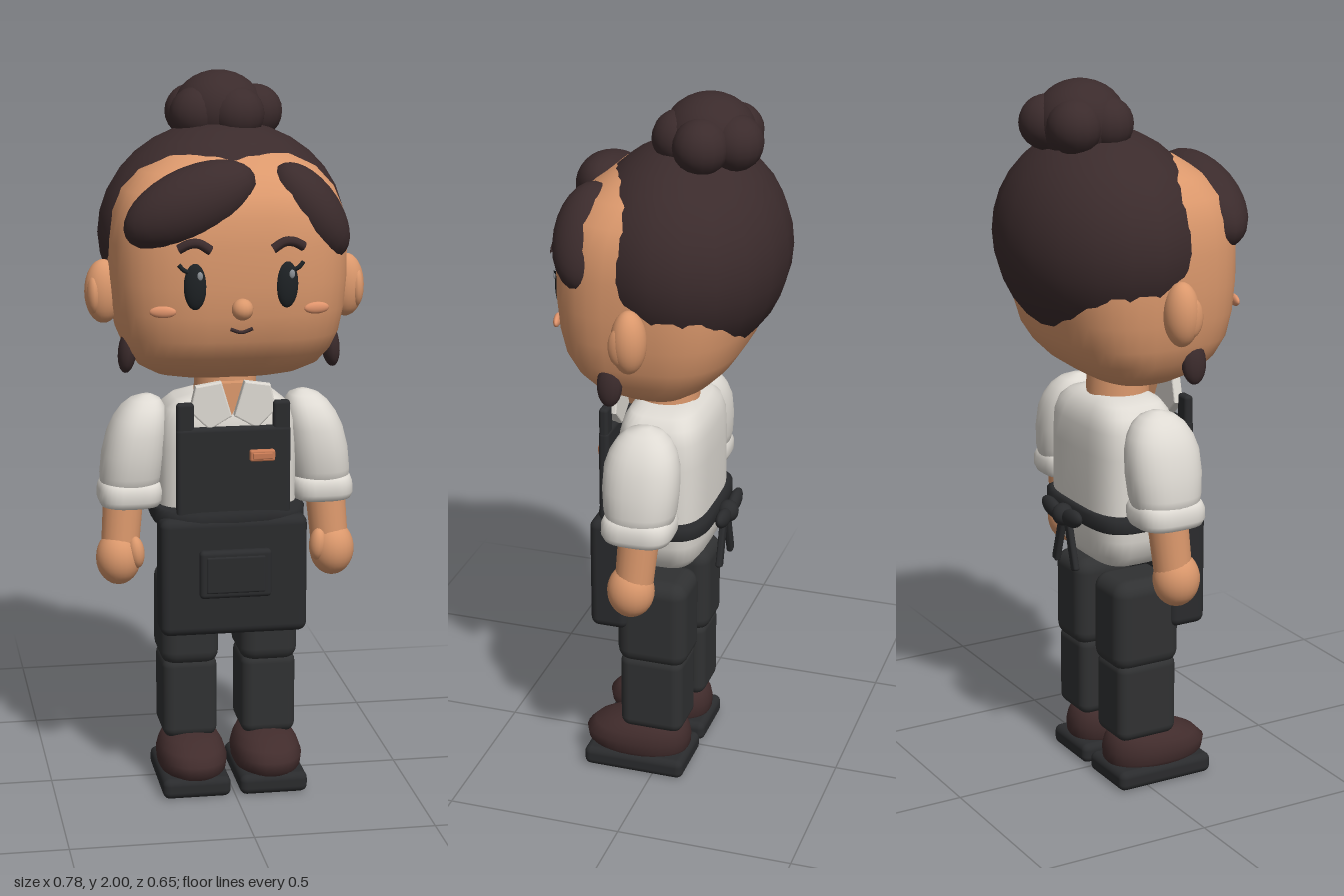
import * as THREE from 'three';
import { RoundedBoxGeometry } from 'three/addons/geometries/RoundedBoxGeometry.js';

const mat = (name, color) => new THREE.MeshStandardMaterial({ name, color });

// Closed body from super-ellipse rings: [y, halfWidth, zFront, zBack, centreX]
function loft(rings, n = 2.6, seg = 32) {
  const pos = [], idx = [];
  const pow = (v) => Math.sign(v) * Math.abs(v) ** (2 / n);
  for (const [y, hx, zf, zb, cx = 0] of rings) {
    for (let i = 0; i < seg; i++) {
      const a = (i / seg) * Math.PI * 2;
      pos.push(cx + hx * pow(Math.sin(a)), y, (zf + zb) / 2 + ((zf - zb) / 2) * pow(Math.cos(a)));
    }
  }
  const last = rings.length - 1;
  for (let r = 0; r < last; r++) {
    for (let i = 0; i < seg; i++) {
      const j = (i + 1) % seg, a = r * seg + i, b = r * seg + j;
      idx.push(a, b, b + seg, a, b + seg, a + seg);
    }
  }
  // end caps
  for (const r of [0, last]) {
    const [y, , zf, zb, cx = 0] = rings[r];
    const c = pos.length / 3;
    pos.push(cx, y, (zf + zb) / 2);
    for (let i = 0; i < seg; i++) {
      const a = r * seg + i, b = r * seg + ((i + 1) % seg);
      if (r === 0) idx.push(c, b, a); else idx.push(c, a, b);
    }
  }
  const g = new THREE.BufferGeometry();
  g.setAttribute('position', new THREE.Float32BufferAttribute(pos, 3));
  g.setIndex(idx);
  g.computeVertexNormals();
  return g;
}

export function createModel() {
  const root = new THREE.Group();
  root.name = 'apronFigure';
  const skin = mat('skin', 0xdb986c), hair = mat('hair', 0x3b2b2c), shirt = mat('shirt', 0xdedad3);
  const apron = mat('apron', 0x2a2b2d), pants = mat('trousers', 0x303132), shoe = mat('shoeLeather', 0x412c2c);
  const eye = mat('eye', 0x1e2225), copper = mat('copper', 0xc97b55), blush = mat('blush', 0xe0946c);
  const glint = mat('eyeGlint', 0x8b9095);

  const add = (name, geo, material, p = [0, 0, 0], rot = [0, 0, 0]) => {
    const m = new THREE.Mesh(geo, material);
    m.name = name;
    m.position.set(...p);
    m.rotation.set(...rot);
    root.add(m);
    return m;
  };
  const blob = (name, material, p, r, rot, ws = 24, hs = 16) =>
    add(name, new THREE.SphereGeometry(1, ws, hs).scale(...r), material, p, rot);
  const box = (name, material, p, size, radius, rot) =>
    add(name, new RoundedBoxGeometry(...size, 3, radius), material, p, rot);
  const tube = (name, material, pts, r) =>
    add(name, new THREE.TubeGeometry(new THREE.CatmullRomCurve3(pts.map((p) => new THREE.Vector3(...p))), 10, r, 8), material);

  // Head
  add('head', loft([
    [1.18, 0.15, 0.09, -0.07], [1.19, 0.2, 0.12, -0.1], [1.22, 0.25, 0.19, -0.145], [1.26, 0.282, 0.232, -0.185],
    [1.31, 0.303, 0.262, -0.217], [1.38, 0.317, 0.278, -0.238], [1.46, 0.324, 0.285, -0.25],
    [1.56, 0.325, 0.285, -0.255], [1.64, 0.315, 0.276, -0.25], [1.7, 0.29, 0.252, -0.23],
    [1.75, 0.245, 0.2, -0.19], [1.79, 0.18, 0.14, -0.14], [1.82, 0.1, 0.06, -0.08],
  ], 2.9, 40), skin);
  blob('nose', skin, [0, 1.405, 0.295], [0.029, 0.029, 0.029], undefined, 16, 12);
  tube('mouth', hair, [[-0.03, 1.35, 0.279], [0, 1.341, 0.281], [0.03, 1.35, 0.279]], 0.005);

  // Hair cap, fringe and bun
  blob('hairCap', hair, [0, 1.57, -0.045], [0.345, 0.3, 0.28], undefined, 20, 16);
  blob('fringeRight', hair, [-0.125, 1.67, 0.2], [0.19, 0.1, 0.1], [0, 0, 0.43]);
  blob('fringeLeft', hair, [0.205, 1.645, 0.168], [0.15, 0.08, 0.092], [0, 0, -0.96]);
  blob('bunCore', hair, [0, 1.89, -0.105], [0.125, 0.11, 0.125]);
  for (let i = 0; i < 5; i++) {
    const a = (i / 5) * Math.PI * 2;
    blob('bunCurl', hair, [0.01 + 0.092 * Math.cos(a), 1.885, -0.11 + 0.08 * Math.sin(a)], [0.078, 0.075, 0.075], undefined, 16, 12);
  }

  // Neck and torso
  add('neck', new THREE.CylinderGeometry(0.085, 0.09, 0.15, 24), skin, [0, 1.135, 0.01]);
  add('shirtBody', loft([
    [0.64, 0.1, 0.06, -0.06], [0.655, 0.14, 0.085, -0.09], [0.69, 0.175, 0.11, -0.115], [0.74, 0.19, 0.12, -0.125],
    [0.82, 0.195, 0.125, -0.13], [0.98, 0.195, 0.125, -0.13], [1.05, 0.19, 0.12, -0.127],
    [1.09, 0.175, 0.11, -0.115], [1.115, 0.145, 0.095, -0.095], [1.13, 0.09, 0.07, -0.07],
  ], 3.6), shirt);
  // skin wedge in the open neckline
  const wedge = new THREE.Shape([[-0.045, 1.17], [0, 1.08], [0.045, 1.17]].map((p) => new THREE.Vector2(...p)));
  add('neckline', new THREE.ExtrudeGeometry(wedge, { depth: 0.05, bevelEnabled: false }), skin, [0, 0, 0.075]);

  // Apron
  box('apronBib', apron, [0, 0.925, 0.15], [0.316, 0.26, 0.03], 0.012);
  box('apronSkirt', apron, [0, 0.635, 0.125], [0.41, 0.335, 0.112], 0.025);
  box('pocket', apron, [0, 0.648, 0.187], [0.2, 0.136, 0.03], 0.012);
  box('pocketPanel', apron, [0, 0.648, 0.198], [0.165, 0.105, 0.014], 0.006);
  add('waistband', loft([
    [0.77, 0.2, 0.165, -0.133], [0.778, 0.212, 0.178, -0.145], [0.812, 0.212, 0.178, -0.145], [0.82, 0.2, 0.165, -0.133],
  ], 4), apron);
  box('nameTag', copper, [0.077, 0.976, 0.171], [0.07, 0.032, 0.02], 0.006);
  box('nameTagFace', copper, [0.077, 0.976, 0.179], [0.055, 0.018, 0.01], 0.003);
  blob('bowKnot', apron, [0, 0.788, -0.165], [0.032, 0.032, 0.03], undefined, 16, 12);

  for (const s of [1, -1]) {
    const side = s > 0 ? 'left' : 'right';
    const mx = (rings) => rings.map(([y, hx, zf, zb, cx]) => [y, hx, zf, zb, s * cx]);

    // Face details
    blob(side + 'Eye', eye, [s * 0.123, 1.467, 0.273], [0.031, 0.064, 0.018], [0, s * 0.12, 0]);
    blob(side + 'EyeGlint', glint, [s * 0.123 + 0.011, 1.495, 0.288], [0.008, 0.012, 0.004], undefined, 12, 8);
    tube(side + 'Lash', eye, [[s * 0.142, 1.505, 0.277], [s * 0.155, 1.512, 0.277], [s * 0.167, 1.525, 0.274]], 0.006);
    tube(side + 'Brow', hair, [[s * 0.083, 1.562, 0.284], [s * 0.115, 1.581, 0.284], [s * 0.14, 1.58, 0.282], [s * 0.167, 1.566, 0.276]], 0.013);
    blob(side + 'Blush', blush, [s * 0.207, 1.397, 0.257], [0.036, 0.016, 0.01], [0, s * 0.2, 0], 20, 10);
    blob(side + 'Ear', skin, [s * 0.337, 1.415, 0.012], [0.052, 0.088, 0.048]);
    blob(side + 'InnerEar', skin, [s * 0.365, 1.41, 0.026], [0.02, 0.055, 0.034], undefined, 16, 12);
    blob(side + 'Sideburn', hair, [s * 0.281, 1.262, 0.085], [0.026, 0.062, 0.036], [0, 0, s * 0.12], 12, 10);

    // Collar flap and apron strap
    const flap = new THREE.Shape([[0.035, 1.175], [0.1, 1.165], [0.115, 1.1], [0.065, 1.052], [0.008, 1.085]]
      .map(([x, y]) => new THREE.Vector2(s * x, y)));
    add(side + 'Collar', new THREE.ExtrudeGeometry(flap, { depth: 0.02, bevelThickness: 0.004, bevelSize: 0.004, bevelSegments: 2 }), shirt, [0, 0, 0.128]);
    box(side + 'Strap', apron, [s * 0.133, 1.05, 0.15], [0.048, 0.15, 0.026], 0.01);

    // Arm
    add(side + 'Sleeve', loft(mx([
      [0.84, 0.078, 0.09, -0.08, 0.272], [0.9, 0.086, 0.106, -0.095, 0.266], [0.96, 0.088, 0.112, -0.1, 0.258],
      [1.02, 0.083, 0.11, -0.098, 0.248], [1.06, 0.074, 0.098, -0.086, 0.238], [1.09, 0.06, 0.08, -0.068, 0.23],
      [1.11, 0.042, 0.056, -0.044, 0.224], [1.122, 0.015, 0.02, -0.01, 0.22],
    ]), 2.3), shirt);
    add(side + 'Cuff', loft(mx([
      [0.813, 0.07, 0.085, -0.07, 0.27], [0.818, 0.083, 0.1, -0.085, 0.27], [0.835, 0.09, 0.108, -0.093, 0.27],
      [0.862, 0.09, 0.108, -0.093, 0.268], [0.88, 0.083, 0.1, -0.085, 0.268], [0.886, 0.07, 0.085, -0.07, 0.268],
    ]), 3), shirt);
    add(side + 'Forearm', new THREE.CylinderGeometry(0.057, 0.053, 0.18, 20), skin, [s * 0.292, 0.765, 0.008], [-0.08, 0, s * 0.08]);
    blob(side + 'Hand', skin, [s * 0.304, 0.662, 0.022], [0.063, 0.077, 0.066]);
    blob(side + 'Thumb', skin, [s * 0.258, 0.682, 0.05], [0.024, 0.046, 0.03], [0, 0, s * -0.1], 16, 12);

    // Bow loop and tail at the back
    blob(side + 'BowLoop', apron, [s * 0.058, 0.793, -0.168], [0.052, 0.026, 0.018], [0, 0, s * 0.2], 16, 12);
    box(side + 'BowTail', apron, [s * 0.034, 0.71, -0.157], [0.028, 0.155, 0.018], 0.007, [0, 0, s * 0.3]);

    // Leg
    box(side + 'Thigh', pants, [s * 0.112, 0.487, 0.007], [0.165, 0.265, 0.205], 0.042);
    box(side + 'Shin', pants, [s * 0.112, 0.26, 0.008], [0.155, 0.24, 0.185], 0.03);

    // Shoe
    add(side + 'Shoe', loft(mx([
      [0.045, 0.085, 0.195, -0.075, 0.107], [0.065, 0.095, 0.215, -0.086, 0.107], [0.095, 0.098, 0.22, -0.088, 0.107],
      [0.12, 0.09, 0.195, -0.083, 0.107], [0.142, 0.076, 0.15, -0.072, 0.107], [0.156, 0.052, 0.1, -0.05, 0.107], [0.161, 0.02, 0.05, -0.01, 0.107],
    ]), 2.3), shoe);
    box(side + 'Sole', apron, [s * 0.109, 0.029, 0.057], [0.192, 0.058, 0.298], 0.02);
  }
  return root;
}
